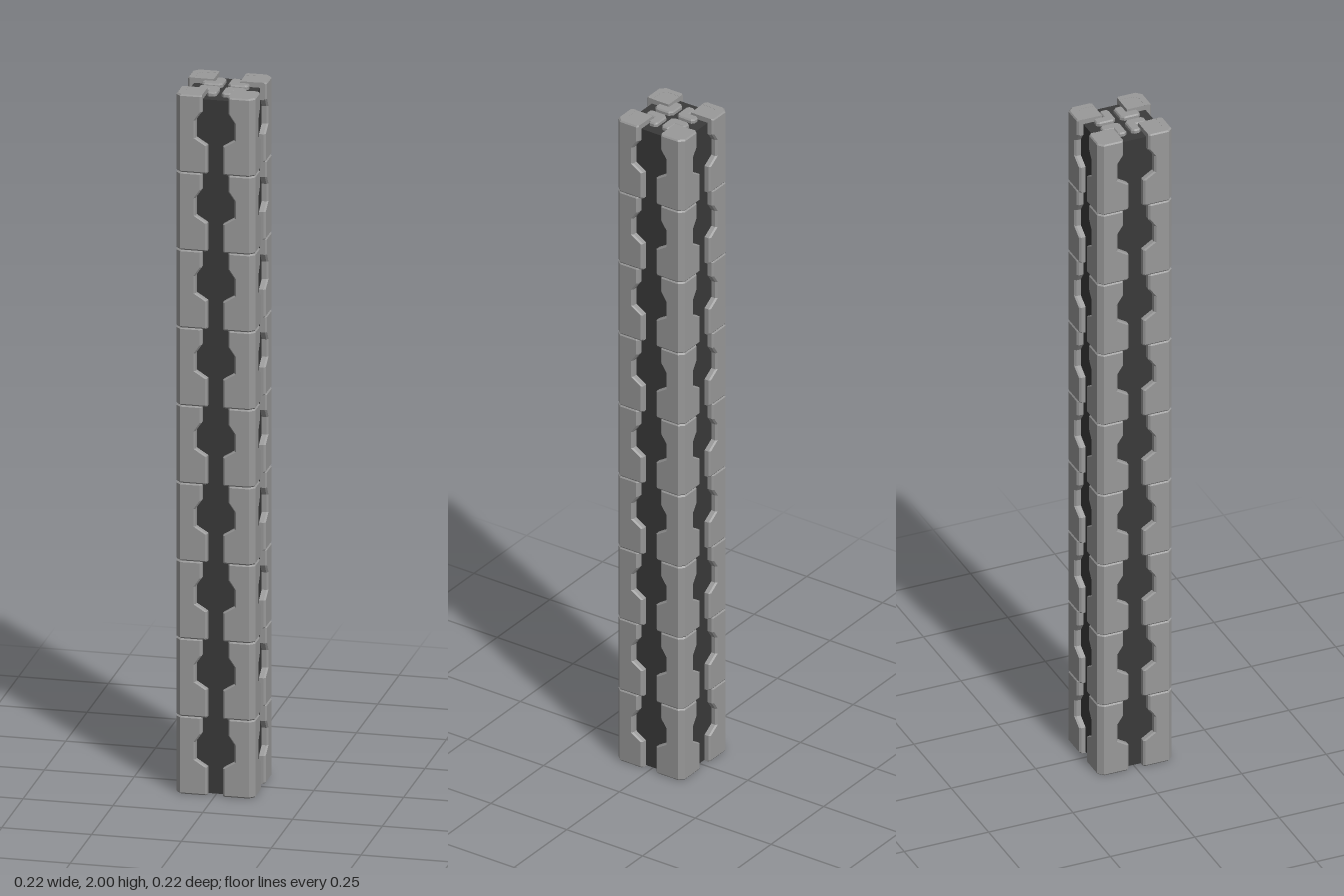
import * as THREE from 'three';

const TIERS = 9, H = 2 / TIERS, OUT = 0.11, IN = 0.09;
const armour = new THREE.MeshStandardMaterial({ color: 0x999999, flatShading: true });
const dark = new THREE.MeshStandardMaterial({ color: 0x3a3a3a, flatShading: true });

// L-shaped section of a corner plate; e is where its free edges lie, s the bevel inset
function section(e, s) {
  const o = OUT - s;
  return [[e, IN], [e, o - 0.005], [e + 0.005, o], [o - 0.014, o], [o, o - 0.014],
    [o, e + 0.005], [o - 0.005, e], [IN, e], [IN, 0.077], [0.077, IN]];
}

// Loft closed sections given as [y, points] into a capped solid
function loft(levels) {
  const pos = [];
  const put = (y, p) => pos.push(p[0], y, p[1]);
  for (let k = 0; k + 1 < levels.length; k++) {
    const [y0, a] = levels[k], [y1, b] = levels[k + 1];
    a.forEach((p, j) => {
      const n = (j + 1) % a.length;
      put(y0, p); put(y0, a[n]); put(y1, b[n]);
      put(y0, p); put(y1, b[n]); put(y1, b[j]);
    });
  }
  for (const [level, up] of [[levels[0], false], [levels[levels.length - 1], true]]) {
    const [y, pts] = level;
    const tris = THREE.ShapeUtils.triangulateShape(pts.map(p => new THREE.Vector2(...p)), []);
    for (const t of tris) {
      const [a, b, c] = t.map(i => pts[i]);
      const facesUp = (b[0] - a[0]) * (c[1] - a[1]) - (b[1] - a[1]) * (c[0] - a[0]) < 0;
      for (const p of facesUp === up ? [a, b, c] : [a, c, b]) put(y, p);
    }
  }
  const g = new THREE.BufferGeometry();
  g.setAttribute('position', new THREE.Float32BufferAttribute(pos, 3));
  g.computeVertexNormals();
  return g;
}

function add(parent, name, geometry, material, x = 0, y = 0, z = 0) {
  const m = new THREE.Mesh(geometry, material);
  m.name = name;
  m.position.set(x, y, z);
  parent.add(m);
  return m;
}

export function createModel() {
  const root = new THREE.Group();
  root.name = 'armouredColumn';

  // Edge profile of one plate: narrow gap, notch, medium gap
  const plate = loft([
    [0, 0.022, 0.003], [0.004, 0.022, 0], [0.08, 0.022, 0], [0.1, 0.054, 0],
    [0.15, 0.054, 0], [0.175, 0.037, 0], [H - 0.004, 0.037, 0], [H, 0.037, 0.003],
  ].map(([y, e, s]) => [y, section(e, s)]));

  // Solid cap closing the top of each corner
  const o = OUT - 0.003;
  const cap = loft([1.95, 1.9995].map(y => [y, [[0.037, 0.037], [0.037, o - 0.006],
    [0.042, o - 0.001], [o - 0.015, o - 0.001], [o - 0.001, o - 0.015],
    [o - 0.001, 0.042], [o - 0.006, 0.037]]]));

  // Small bevelled L plate on the top of the core
  const small = (s) => [[0.007 + s, 0.017], [0.007 + s, 0.058 - s], [0.014, 0.065 - s],
    [0.028, 0.065 - s], [0.034 - s, 0.059], [0.034 - s, 0.034 - s],
    [0.059, 0.034 - s], [0.065 - s, 0.028], [0.065 - s, 0.014],
    [0.058 - s, 0.007 + s], [0.017, 0.007 + s]];
  const topPlate = loft([[1.97, small(0)], [1.993, small(0)], [1.997, small(0.003)]]);

  for (let q = 0; q < 4; q++) {
    const corner = new THREE.Group();
    corner.name = 'corner' + (q + 1);
    corner.rotation.y = q * Math.PI / 2;
    for (let i = 0; i < TIERS; i++) add(corner, 'cornerPlate', plate, armour, 0, i * H, 0);
    add(corner, 'cornerCap', cap, armour);
    add(corner, 'topPlate', topPlate, armour);
    // Dark wall of the hollow core, seen in the groove between plates
    add(corner, 'coreWall', new THREE.BoxGeometry(0.154, 1.98, 0.012), dark, 0, 0.992, 0.086);
    root.add(corner);
  }

  // Lid of the hollow core
  add(root, 'coreLid', new THREE.BoxGeometry(0.184, 0.03, 0.184), dark, 0, 1.97, 0);
  return root;
}
